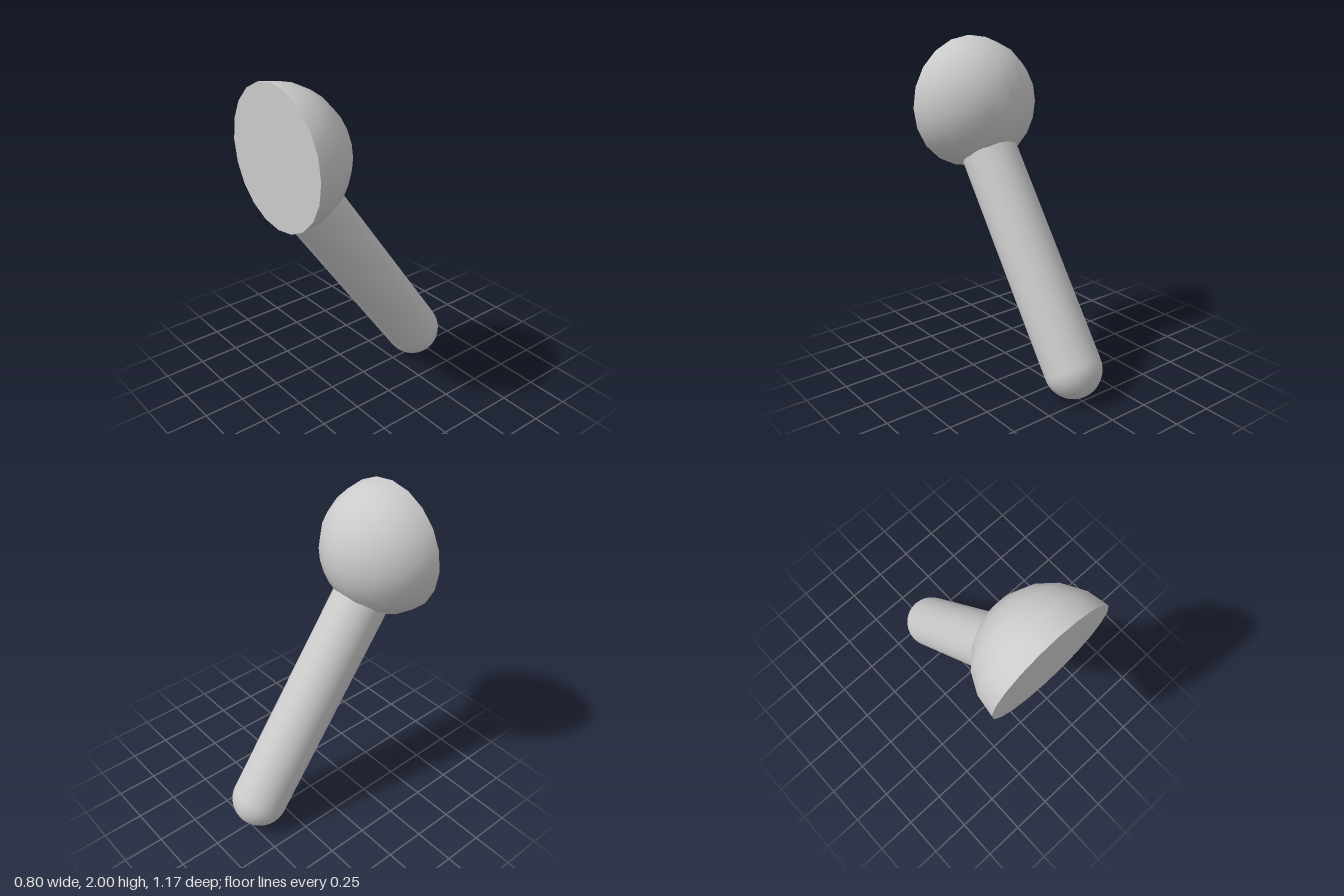
import * as THREE from 'three';

export function createModel() {
  const model = new THREE.Group();
  const material = new THREE.MeshStandardMaterial({ color: 0xcccccc });
  const add = (name, geometry, parent = model) => {
    const mesh = new THREE.Mesh(geometry, material);
    mesh.name = name;
    parent.add(mesh);
    return mesh;
  };

  // Half-ball head: dome to the back, flat face to the front
  const headRadius = 0.402, sides = 20;
  const head = new THREE.Group();
  head.name = 'head';
  head.position.set(0, 1.598, 0.585);
  model.add(head);
  const dome = new THREE.SphereGeometry(headRadius, sides, sides / 4, 0, Math.PI * 2, 0, Math.PI / 2);
  add('dome', dome.rotateX(-Math.PI / 2), head);
  const face = new THREE.CircleGeometry(headRadius, sides);
  add('flatFace', face.rotateZ(Math.PI / 2), head);

  // Slanted round-ended handle, aimed at the centre of the head
  const radius = 0.172;
  const foot = new THREE.Vector3(0, radius, radius - 0.585);
  const axis = head.position.clone().sub(foot);
  const length = axis.length() - 0.3;
  const profile = [];
  for (let i = 0; i <= 10; i++) {
    const a = (i / 10) * Math.PI / 2;
    profile.push(new THREE.Vector2(radius * Math.sin(a), -radius * Math.cos(a)));
  }
  profile.push(new THREE.Vector2(radius, length));
  const handle = add('handle', new THREE.LatheGeometry(profile, 32));
  handle.position.copy(foot);
  handle.rotation.x = Math.atan2(axis.z, axis.y);

  return model;
}
